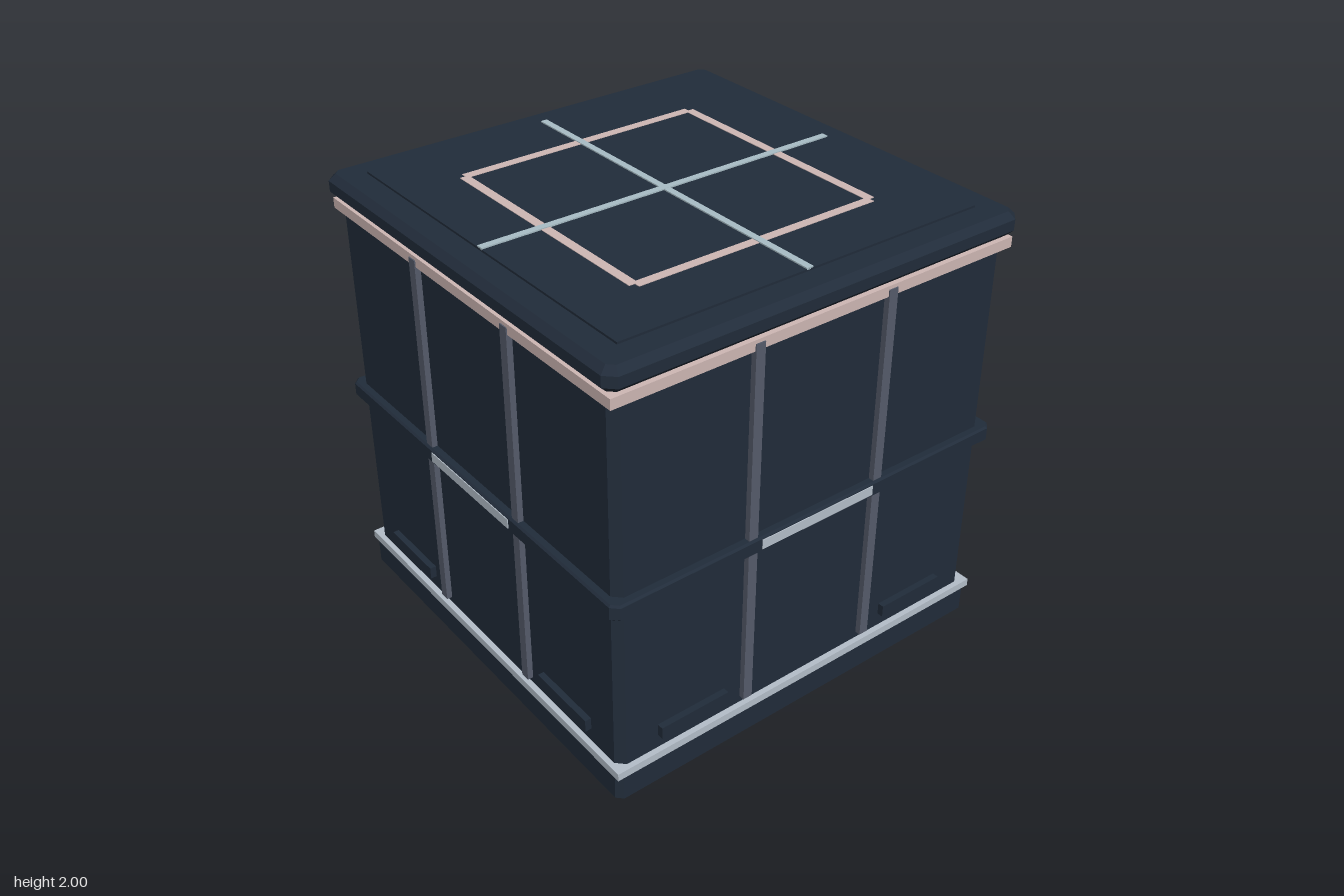
import * as THREE from 'three';

const paint = (name, color) => new THREE.MeshStandardMaterial({ name, color });

export function createModel() {
  const navy = paint('navy', 0x212c3a);
  const grey = paint('slate grey', 0x565c6b);
  const silver = paint('silver', 0xb5bfca);
  const ice = paint('pale ice', 0xa9bec6);
  const rose = paint('rose', 0xcfb8b5);
  const shadow = paint('seam dark', 0x1c1620);

  const model = new THREE.Group();
  model.name = 'crate';

  const add = (parent, name, geometry, material, x = 0, y = 0, z = 0) => {
    const mesh = new THREE.Mesh(geometry, material);
    mesh.name = name;
    mesh.position.set(x, y, z);
    parent.add(mesh);
    return mesh;
  };

  // Square slab with cut vertical corners and optional bevelled rims
  const slab = (name, half, y0, y1, cut, bevel, material) => {
    const h = half - bevel, k = h - cut;
    const outline = new THREE.Shape([
      [k, -h], [h, -k], [h, k], [k, h], [-k, h], [-h, k], [-h, -k], [-k, -h],
    ].map(([x, y]) => new THREE.Vector2(x, y)));
    const geometry = new THREE.ExtrudeGeometry(outline, {
      depth: y1 - y0 - 2 * bevel, bevelEnabled: bevel > 0,
      bevelSize: bevel, bevelThickness: bevel, bevelSegments: 1,
    });
    geometry.translate(0, 0, bevel).rotateX(-Math.PI / 2);
    return add(model, name, geometry, material, 0, y0, 0);
  };
  const box = (w, h, d) => new THREE.BoxGeometry(w, h, d);

  // Stacked body
  slab('base', 0.96, 0, 0.16, 0.015, 0.018, navy);
  add(model, 'lowerTrim', box(1.93, 0.035, 1.93), silver, 0, 0.153, 0);
  slab('body', 0.94, 0.15, 1.86, 0.035, 0, navy);
  slab('middleBand', 0.975, 0.93, 1, 0.025, 0.008, navy);
  add(model, 'upperTrim', box(1.92, 0.045, 1.92), rose, 0, 1.848, 0);
  slab('lidSeam', 0.925, 1.86, 1.9, 0.03, 0, shadow);
  slab('lid', 0.98, 1.882, 1.985, 0.025, 0.028, navy);
  add(model, 'lidPanel', box(1.7, 0.012, 1.7), navy, 0, 1.988, 0);

  // Matching fittings on all four walls
  for (let i = 0; i < 4; i++) {
    const wall = new THREE.Group();
    wall.name = 'wallFittings';
    wall.rotation.y = i * Math.PI / 2;
    for (const s of [-1, 1]) {
      add(wall, 'rib', box(0.043, 1.655, 0.03), grey, s * 0.32, 1.0275, 0.95);
      add(wall, 'footGrip', box(0.33, 0.055, 0.035), navy, s * 0.59, 0.2625, 0.9505);
    }
    add(wall, 'bandInlay', box(0.57, 0.043, 0.008), silver, 0, 0.967, 0.975);
    // One side of the square inlay on the lid
    add(wall, 'lidSquare', box(1.13, 0.006, 0.04), rose, 0, 1.9935, 0.57);
    model.add(wall);
  }

  // Cross inlay on the lid
  add(model, 'lidCrossWide', box(1.7, 0.009, 0.03), ice, 0, 1.995, 0);
  add(model, 'lidCrossDeep', box(0.03, 0.01, 1.7), ice, 0, 1.995, 0);

  return model;
}
